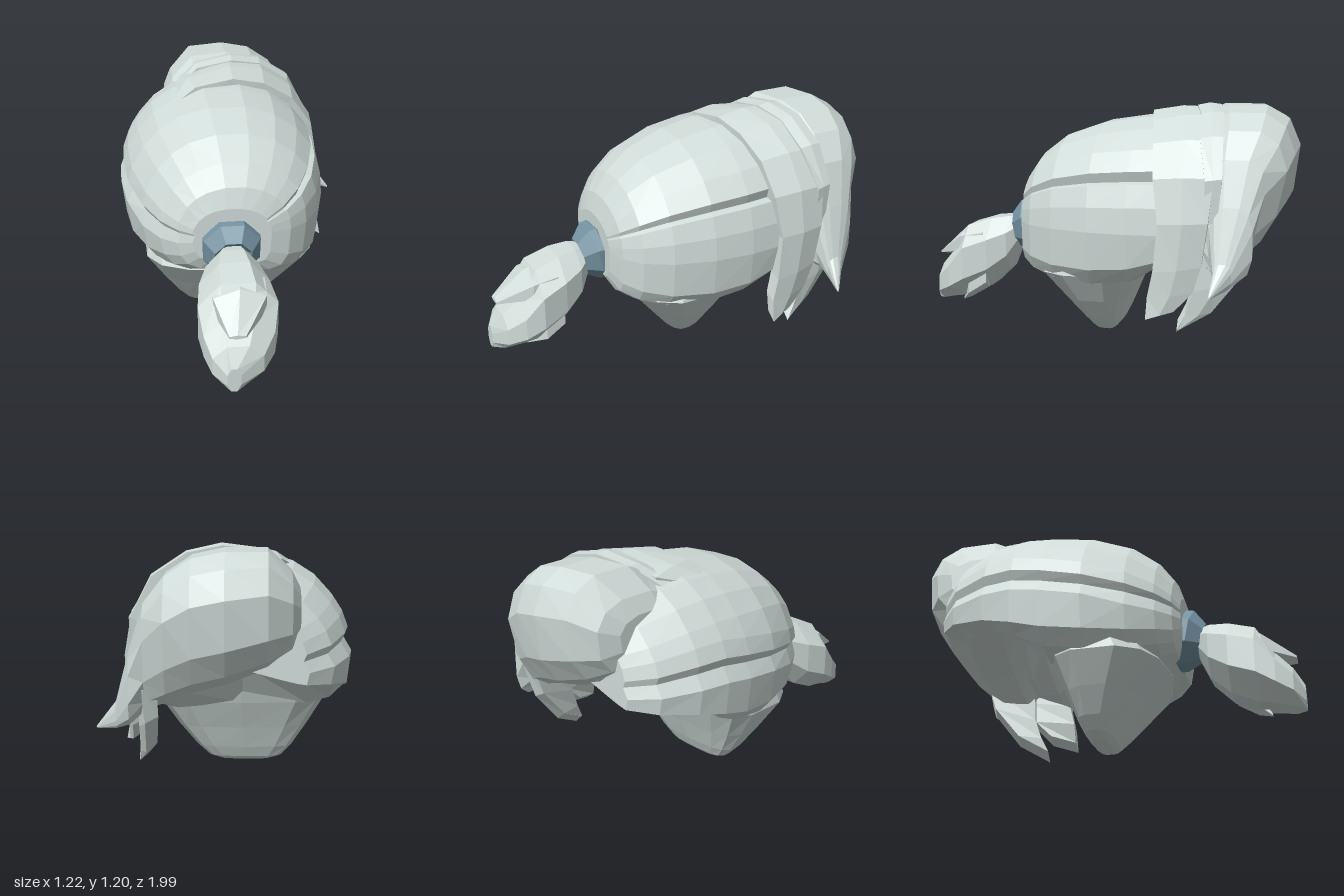
import * as THREE from 'three';

const hair = new THREE.MeshStandardMaterial({ color: 0xd0dcd9, flatShading: true });
hair.name = 'pale grey hair';
const blue = new THREE.MeshStandardMaterial({ color: 0x7593a3, flatShading: true });
blue.name = 'blue tie';

const V = (x, y, z) => new THREE.Vector3(x, y, z);

// Closed faceted skin over equal-length rings, capped at both ends, always facing outwards
function loft(name, rings, material = hair) {
  const tris = [];
  const n = rings[0].length;
  for (let i = 0; i < rings.length - 1; i++) {
    for (let j = 0; j < n; j++) {
      const k = (j + 1) % n;
      const [a, b, c, d] = [rings[i][j], rings[i][k], rings[i + 1][k], rings[i + 1][j]];
      tris.push([a, b, c], [a, c, d]);
    }
  }
  const cap = (ring, flip) => {
    const mid = ring.reduce((s, p) => s.add(p), V(0, 0, 0)).divideScalar(n);
    ring.forEach((p, j) => {
      const q = ring[(j + 1) % n];
      tris.push(flip ? [mid, q, p] : [mid, p, q]);
    });
  };
  cap(rings[0], true);
  cap(rings[rings.length - 1], false);
  let volume = 0;
  for (const [a, b, c] of tris) volume += a.dot(b.clone().cross(c));
  const points = tris.flatMap(([a, b, c]) => (volume < 0 ? [a, c, b] : [a, b, c]));
  const geometry = new THREE.BufferGeometry().setFromPoints(points);
  geometry.computeVertexNormals();
  const mesh = new THREE.Mesh(geometry, material);
  mesh.name = name;
  return mesh;
}

// Rounded outline between limits; a power under 1 makes it squarer, set apart for the lower half
function oval(u0, u1, v0, v1, sides, power, place, lowPower = power) {
  return Array.from({ length: sides }, (_, i) => {
    const a = ((i + 0.5) / sides) * Math.PI * 2;
    const p = Math.sin(a) < 0 ? lowPower : power;
    const bend = (t) => Math.sign(t) * Math.abs(t) ** p;
    return place(
      (u0 + u1) / 2 + ((u1 - u0) / 2) * bend(Math.cos(a)),
      (v0 + v1) / 2 + ((v1 - v0) / 2) * bend(Math.sin(a)));
  });
}

// Lock of hair lying on the head: rows of [back edge, front edge, bulge]
function lock(name, rows, depth = 0.07) {
  const centre = V(-0.07, 0.6, -0.4);
  return loft(name, rows.map(([b, f, bulge]) => {
    const back = V(...b), front = V(...f);
    const mid = back.clone().lerp(front, 0.5);
    const out = mid.clone().sub(centre);
    out.z *= 0.3;
    out.normalize();
    const move = (p, d) => p.clone().addScaledVector(out, d);
    return [move(back, -depth), back, move(mid, bulge), front, move(front, -depth)];
  }));
}

export function createModel() {
  const group = new THREE.Group();
  group.name = 'tiedBackHair';

  // Skull cap: sections along z, with a combed groove on each side; the right one climbs forwards.
  // Each combed entry is angle, radius factor, climb. The last section number hollows the underside.
  const combed = [[0, 1, 0], [12, 1, 0], [24, 1, 0], [27, 0.94, 0], [31, 1.01, 0], [45, 1, 0], [62, 1, 0],
    [80, 1, 0], [98, 1, 0], [116, 1, 0], [130, 1, 0], [144, 1, 0], [166, 1.01, 13], [175, 1.01, 13],
    [179, 0.95, 13], [185, 1.01, 11], [204, 1, 4], [226, 1, 0], [248, 1, 0], [270, 1, 0], [292, 1, 0],
    [314, 1, 0], [337, 1, 0]];
  const capSections = [
    [0.43, -0.28, 0.11, 0.45, 0.73, 0], [0.40, -0.35, 0.21, 0.39, 0.83, 0], [0.33, -0.43, 0.30, 0.35, 0.93, 0],
    [0.2, -0.51, 0.38, 0.31, 1.03, 0], [0, -0.58, 0.44, 0.30, 1.1, 0], [-0.2, -0.605, 0.46, 0.33, 1.13, 0.02],
    [-0.35, -0.605, 0.45, 0.39, 1.14, 0.19], [-0.5, -0.58, 0.44, 0.46, 1.12, 0.26],
    [-0.68, -0.5, 0.40, 0.53, 1.05, 0.17], [-0.78, -0.38, 0.34, 0.57, 0.98, 0.1]];
  group.add(loft('skullCap', capSections.map(([z, x0, x1, y0, y1, hollow]) =>
    combed.map(([deg, r, climb]) => {
      const a = THREE.MathUtils.degToRad(deg - climb * Math.min(1, (0.43 - z) / 0.8));
      const c = Math.cos(a), s = Math.sin(a);
      const p = s < 0 ? 0.5 : 0.92;
      const x = Math.sign(c) * Math.abs(c) ** p * r;
      const y = Math.sign(s) * Math.abs(s) ** (s < 0 ? 0.6 : p) * r;
      const height = s < 0 ? 0.59 - y0 + 0.05 * Math.max(0, x) : y1 - 0.59;
      const lift = s < 0 ? hollow * (1 - Math.abs(x)) : 0;
      return V((x0 + x1) / 2 + ((x1 - x0) / 2) * x, 0.59 + height * y + lift, z);
    }))));

  // Nape: level sections tapering down, flatter behind
  group.add(loft('nape', [
    [0.46, -0.49, 0.35, -0.26, 0.3], [0.35, -0.505, 0.37, -0.22, 0.345], [0.2, -0.415, 0.265, -0.15, 0.21],
    [0.08, -0.335, 0.165, -0.1, 0.11], [0.02, -0.28, 0.1, -0.07, 0.06], [0, -0.22, 0.04, -0.05, 0.03],
  ].map(([y, x0, x1, z0, z1]) => oval(x0, x1, z0, z1, 14, 0.8, (x, z) => V(x, y, z), 0.55))));

  // Forelock: sections along x, swept down to a pointed tip
  group.add(loft('forelock', [
    [-0.34, 0.78, 1.01, -0.42, -0.78], [-0.3, 0.71, 1.09, -0.4, -0.88], [-0.19, 0.64, 1.195, -0.42, -0.965],
    [0, 0.57, 1.2, -0.46, -1.0], [0.15, 0.53, 1.17, -0.5, -0.985], [0.27, 0.48, 1.09, -0.53, -0.955],
    [0.37, 0.43, 0.96, -0.56, -0.88], [0.44, 0.38, 0.74, -0.6, -0.81], [0.51, 0.35, 0.48, -0.63, -0.72],
    [0.61, 0.335, 0.345, -0.625, -0.635],
  ].map(([x, y0, y1, z0, z1]) => oval(z0, z1, y0, y1, 12, 0.75, (z, y) =>
    V(x, y, z + (x < 0.4 ? Math.max(0, 0.9 - y) * 0.22 : 0))))));

  // Lock crossing the crown and hanging by the left temple
  group.add(lock('crownLock', [
    [[-0.36, 1.04, -0.14], [-0.36, 1.04, -0.24], 0],
    [[-0.2, 1.135, -0.21], [-0.26, 1.12, -0.48], 0.015],
    [[0, 1.16, -0.25], [0, 1.18, -0.56], 0.015],
    [[0.17, 1.12, -0.28], [0.18, 1.15, -0.6], 0.015],
    [[0.33, 1.02, -0.31], [0.33, 1.04, -0.62], 0.015],
    [[0.44, 0.86, -0.33], [0.44, 0.87, -0.62], 0.015],
    [[0.48, 0.65, -0.36], [0.47, 0.66, -0.6], 0.015],
    [[0.485, 0.42, -0.34], [0.46, 0.45, -0.57], 0.015],
    [[0.485, 0.3, -0.315], [0.45, 0.32, -0.53], 0.015],
    [[0.505, 0.19, -0.31], [0.46, 0.225, -0.44], 0]]));

  // Raised fold in front of the crown lock
  group.add(lock('crownFold', [
    [[-0.34, 1.05, -0.36], [-0.33, 1.05, -0.44], 0],
    [[-0.17, 1.16, -0.46], [-0.17, 1.17, -0.56], 0.01],
    [[0.02, 1.19, -0.48], [0.02, 1.195, -0.6], 0.01],
    [[0.18, 1.155, -0.52], [0.18, 1.165, -0.63], 0.01],
    [[0.34, 1.05, -0.54], [0.34, 1.06, -0.65], 0.01],
    [[0.455, 0.86, -0.58], [0.44, 0.87, -0.66], 0],
    [[0.455, 0.66, -0.58], [0.44, 0.66, -0.64], 0]]));

  // Inner temple lock
  group.add(lock('templeLock', [
    [[0.42, 0.56, -0.54], [0.38, 0.56, -0.8], 0.01],
    [[0.42, 0.32, -0.53], [0.37, 0.39, -0.75], 0.015],
    [[0.42, 0.2, -0.49], [0.38, 0.21, -0.61], 0.01],
    [[0.43, 0.12, -0.45], [0.42, 0.125, -0.46], 0]]));

  // Hair tie: tilted faceted ring narrowing towards the tail
  group.add(loft('hairTie', [
    [0.38, 0.52, 0.125], [0.41, 0.523, 0.156], [0.45, 0.52, 0.152], [0.515, 0.5, 0.098], [0.49, 0.5, 0.07],
  ].map(([z, cy, r]) => oval(-0.09 - r, -0.09 + r, cy - r, cy + r, 8, 1, (x, y) =>
    V(x, y, z + (y - cy) * 0.2))), blue));

  // Ponytail: sections along z, ending in ragged points
  group.add(loft('ponytail', [
    [0.48, 0.43, 0.57, -0.16, -0.02], [0.55, 0.27, 0.58, -0.24, 0.04], [0.65, 0.17, 0.57, -0.285, 0.08],
    [0.78, 0.11, 0.53, -0.305, 0.105], [0.87, 0.1, 0.38, -0.285, 0.075], [0.95, 0.08, 0.29, -0.25, 0.01],
    [1.0, 0.07, 0.2, -0.18, -0.11],
  ].map(([z, y0, y1, x0, x1]) => oval(x0, x1, y0, y1, 8, 0.95, (x, y) => V(x, y, z)))));
  const tips = [
    [[0.68, 0.34, 0.53, -0.25, 0.06], [0.81, 0.34, 0.5, -0.24, 0.05], [0.97, 0.335, 0.355, -0.17, -0.08]],
    [[0.66, 0.18, 0.32, -0.08, 0.06], [0.76, 0.12, 0.24, -0.08, 0.06], [0.83, 0.085, 0.1, -0.08, -0.06]]];
  tips.forEach((rows, i) => group.add(loft(i ? 'lowerTailTip' : 'upperTailTip',
    rows.map(([z, y0, y1, x0, x1]) => oval(x0, x1, y0, y1, 6, 1, (x, y) => V(x, y, z))))));

  return group;
}
